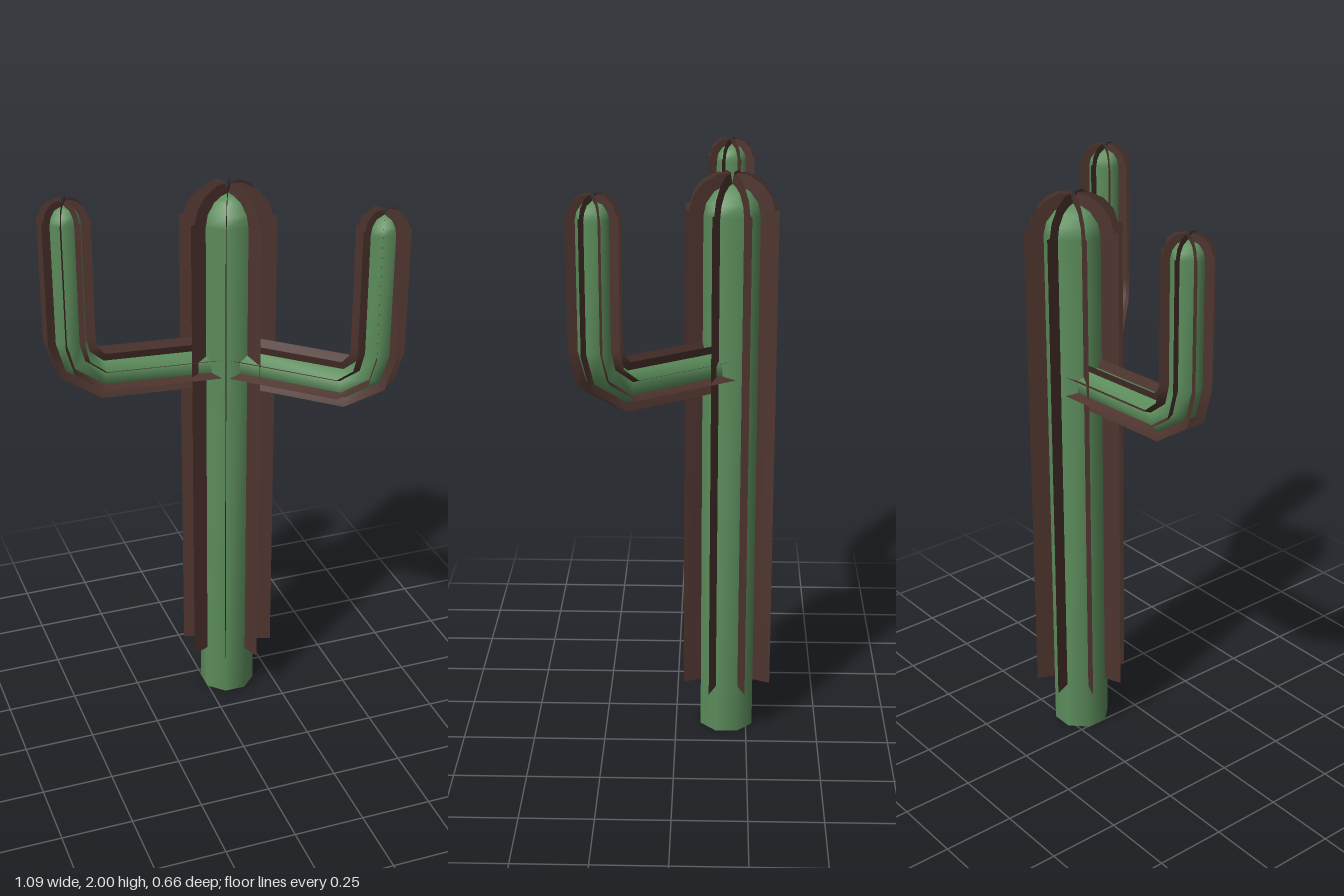
import * as THREE from 'three';

const SIDES = 8;
const UP = 90;

// A station is [x, y, radius, heading in degrees]; returns a point on its ring.
function ringPoint([x, y, r, heading], k) {
  const a = THREE.MathUtils.degToRad(heading);
  const t = ((k + 0.5) / SIDES) * Math.PI * 2;
  const out = r * Math.cos(t);
  return [x + out * Math.sin(a), y - out * Math.cos(a), r * Math.sin(t)];
}

function buildGeometry(positions, index) {
  const g = new THREE.BufferGeometry();
  g.setAttribute('position', new THREE.Float32BufferAttribute(positions, 3));
  g.setIndex(index);
  g.computeVertexNormals();
  return g;
}

// Eight-sided smooth skin through the stations
function skinGeometry(stations) {
  const pos = [], index = [];
  stations.forEach((s, i) => {
    for (let k = 0; k < SIDES; k++) {
      pos.push(...ringPoint(s, k));
      if (i === stations.length - 1) continue;
      const a = i * SIDES + k, b = i * SIDES + ((k + 1) % SIDES);
      index.push(a, a + SIDES, b, b, a + SIDES, b + SIDES);
    }
  });
  return buildGeometry(pos, index);
}

// Flat blades standing on the corners of the skin, between inner and outer stations
function bladeGeometry(inner, outer) {
  const pos = [], index = [];
  for (let k = 0; k < SIDES; k++) {
    inner.forEach((s, i) => {
      const a = pos.length / 3;
      pos.push(...ringPoint(s, k), ...ringPoint(outer[i], k));
      if (i < inner.length - 1) index.push(a, a + 2, a + 1, a + 1, a + 2, a + 3);
    });
  }
  return buildGeometry(pos, index);
}

// Upright stations from [radius, y] pairs at distance x
const upright = (x, pairs) => pairs.map(([r, y]) => [x, y, r, UP]);

export function createModel() {
  const green = new THREE.MeshStandardMaterial({ color: 0x5c8d5c });
  green.name = 'cactus green';
  const brown = new THREE.MeshStandardMaterial({ color: 0x4e342e, side: THREE.DoubleSide });
  brown.name = 'rib brown';

  const stem = (name, skin, inner, outer) => {
    const group = new THREE.Group();
    group.name = name;
    const body = new THREE.Mesh(skinGeometry(skin), green);
    body.name = name + 'Body';
    const ribs = new THREE.Mesh(bladeGeometry(inner, outer), brown);
    ribs.name = name + 'Ribs';
    group.add(body, ribs);
    return group;
  };

  const model = new THREE.Group();
  model.name = 'cactus';

  // Trunk with closed base, domed top and ribs starting above the ground
  const trunk = stem('trunk',
    upright(0, [[0, 0], [0.0995, 0], [0.0995, 0], [0.0995, 1.86], [0.09, 1.9], [0.062, 1.935], [0.03, 1.95], [0, 1.955]]),
    upright(0, [[0.09, 0.18], [0.09, 1.86], [0.09, 1.86], [0.08, 1.9], [0.055, 1.925], [0.03, 1.94], [0.01, 1.945], [0, 1.95]]),
    upright(0, [[0.164, 0.18], [0.164, 1.88], [0.148, 1.88], [0.135, 1.925], [0.1, 1.965], [0.05, 1.99], [0.015, 1.99], [0, 1.955]]));
  model.add(trunk);

  // Arm: level run, bent elbow, then upright with a domed tip
  const armLength = 0.56;
  const elbow = (r) => [[0.04, 1.355, r, 3], [0.455, 1.375, r, 5], [0.54, 1.438, r, 55], [armLength, 1.515, r, 87]];
  const tip = (pairs) => upright(armLength, pairs);
  const makeArm = (name) => stem(name,
    [...elbow(0.056), ...tip([[0.056, 1.925], [0.05, 1.95], [0.034, 1.97], [0, 1.98]])],
    [...elbow(0.05), ...tip([[0.05, 1.925], [0.05, 1.925], [0.042, 1.95], [0.028, 1.968], [0.008, 1.973], [0, 1.975]])],
    [...elbow(0.088), ...tip([[0.088, 1.94], [0.081, 1.94], [0.072, 1.97], [0.045, 1.994], [0.014, 2], [0, 1.98]])]);

  const angles = { rightArm: Math.PI, leftArm: -Math.atan2(0.425, 0.373) };
  for (const [name, angle] of Object.entries(angles)) {
    const arm = makeArm(name);
    arm.rotation.y = angle;
    model.add(arm);
  }

  for (const part of model.children) part.position.set(0.09, 0, -0.18);
  return model;
}
